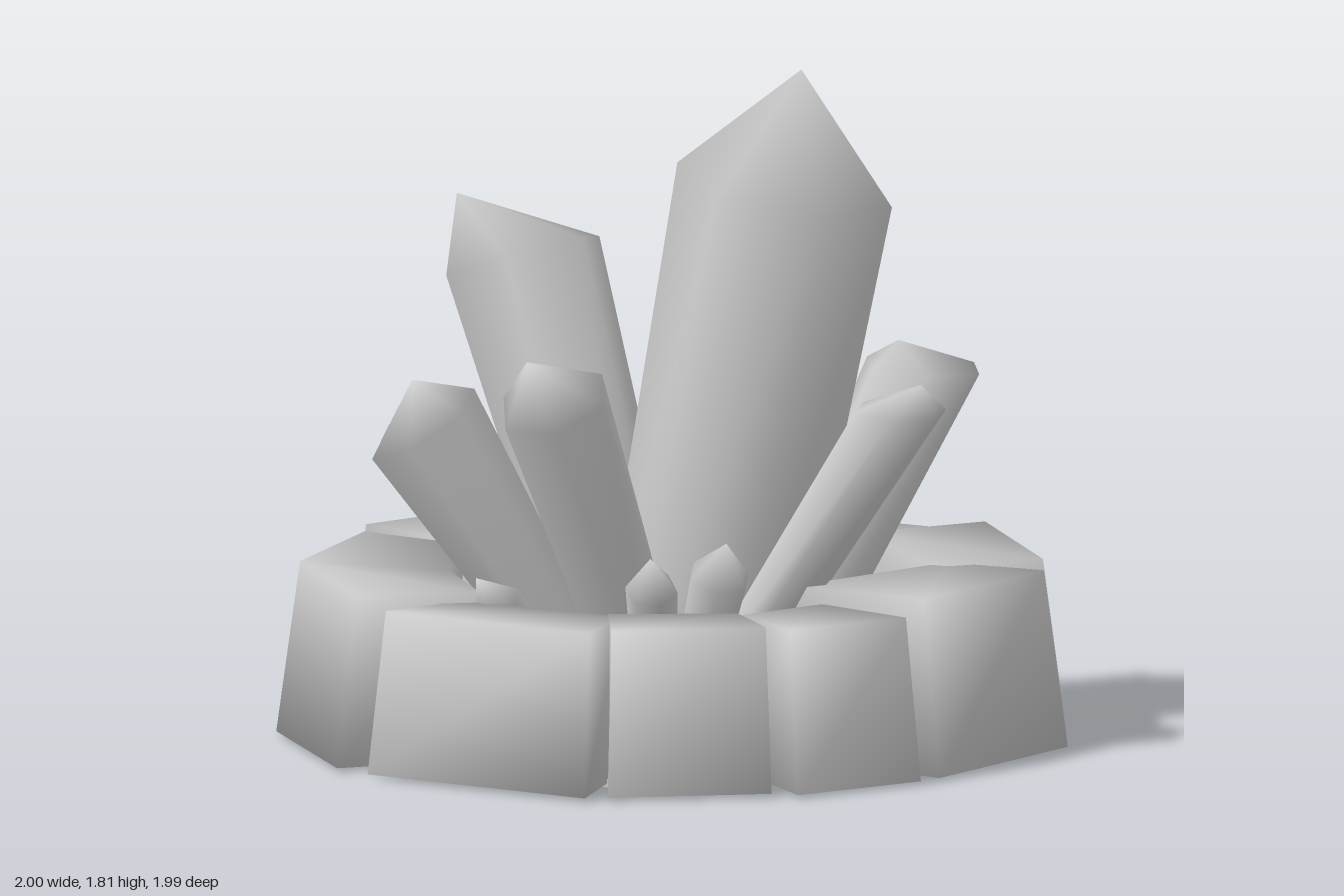
import * as THREE from 'three';

const stone = new THREE.MeshStandardMaterial({ color: 0xcccccc });
stone.name = 'paleStone';

function addMesh(group, name, geometry) {
  const mesh = new THREE.Mesh(geometry, stone);
  mesh.name = name;
  group.add(mesh);
}

function smoothGeometry(points, index) {
  const geometry = new THREE.BufferGeometry().setFromPoints(points);
  geometry.setIndex(index);
  geometry.computeVertexNormals();
  return geometry;
}

// Six-sided shaft from base to shoulder, closed by a point at tip.
// level flattens the shoulder towards horizontal, flat thins the shaft.
function crystalGeometry({ base, shoulder, tip, r, taper = 0.75, twist = 0, level = 0, flat = 1 }) {
  const foot = new THREE.Vector3(...base);
  const neck = new THREE.Vector3(...shoulder);
  const turn = new THREE.Quaternion().setFromUnitVectors(
    new THREE.Vector3(0, 1, 0), neck.clone().sub(foot).normalize());
  const ring = (centre, radius, levelling) => Array.from({ length: 6 }, (_, i) => {
    const a = twist + i * Math.PI / 3;
    const p = new THREE.Vector3(Math.cos(a) * radius, 0, -Math.sin(a) * radius * flat)
      .applyQuaternion(turn);
    p.y *= 1 - levelling;
    return p.add(centre);
  });
  foot.y = 0.02;
  const points = [...ring(foot, r * taper, 1), ...ring(neck, r, level), new THREE.Vector3(...tip)];
  const index = [];
  for (let i = 0; i < 6; i++) {
    const j = (i + 1) % 6;
    index.push(i, j, j + 6, i, j + 6, i + 6, i + 6, j + 6, 12);
  }
  return smoothGeometry(points, index);
}

// Smooth boulder: a four-cornered section swept along outer and inner [x, z] points
function boulderGeometry({ outer, inner, h }) {
  const lean = 0.94;
  const points = outer.flatMap(([ox, oz], i) => {
    const [ix, iz] = inner[i];
    return [
      new THREE.Vector3(ox, 0.01, oz),
      new THREE.Vector3(ox * lean, h, oz * lean),
      new THREE.Vector3(ix, h - 0.01, iz),
      new THREE.Vector3(ix, 0.01, iz),
    ];
  });
  const index = [];
  const quad = (a, b, c, d) => index.push(a, b, c, a, c, d);
  const last = (outer.length - 1) * 4;
  for (let i = 0; i < last; i += 4) {
    for (let k = 0; k < 4; k++) {
      const n = (k + 1) % 4;
      quad(i + k, i + 4 + k, i + 4 + n, i + n);
    }
  }
  quad(3, 0, 1, 2);
  quad(last + 2, last + 1, last, last + 3);
  return smoothGeometry(points, index);
}

// Boulders, counter-clockwise from the front left
const boulders = [
  { outer: [[-0.45, 0.88], [-0.02, 0.95]], inner: [[-0.34, 0.53], [-0.01, 0.62]], h: 0.445 },
  { outer: [[0.04, 0.99], [0.41, 0.89]], inner: [[0.0, 0.62], [0.25, 0.53]], h: 0.44 },
  { outer: [[0.47, 0.86], [0.93, 0.52]], inner: [[0.2, 0.46], [0.68, 0.25]], h: 0.48 },
  { outer: [[0.98, 0.35], [1.0, -0.26]], inner: [[0.63, 0.31], [0.61, -0.24]], h: 0.48 },
  { outer: [[0.95, -0.4], [0.49, -0.88]], inner: [[0.61, -0.22], [0.27, -0.55]], h: 0.44 },
  { outer: [[0.41, -0.9], [-0.03, -0.99]], inner: [[0.33, -0.62], [-0.06, -0.62]], h: 0.46 },
  { outer: [[-0.1, -1.0], [-0.65, -0.79]], inner: [[-0.03, -0.62], [-0.45, -0.48]], h: 0.47 },
  { outer: [[-0.68, -0.71], [-0.99, -0.32], [-1.0, 0.25]],
    inner: [[-0.43, -0.47], [-0.58, -0.1], [-0.6, 0.24]], h: 0.465 },
  { outer: [[-0.95, 0.36], [-0.51, 0.87]], inner: [[-0.63, 0.2], [-0.31, 0.55]], h: 0.44 },
];

// Tall crystals
const crystals = [
  { base: [0.03, 0, 0.02], shoulder: [0.24, 1.5, 0.23], tip: [0.28, 1.81, 0.25], r: 0.29, taper: 0.92, twist: 0.6 },
  { base: [-0.03, 0, -0.1], shoulder: [-0.27, 1.22, -0.45], tip: [-0.43, 1.385, -0.52], r: 0.22, twist: 0.05 },
  { base: [-0.04, 0, 0.05], shoulder: [-0.44, 0.98, 0.37], tip: [-0.53, 1.1, 0.42], r: 0.155, twist: 0.2 },
  { base: [-0.15, 0, 0], shoulder: [-0.7, 0.88, 0.05], tip: [-0.73, 1.0, 0.05], r: 0.165, taper: 0.6, flat: 0.75 },
  { base: [0, 0, 0.18], shoulder: [0.44, 0.95, 0.61], tip: [0.5, 1.015, 0.6], r: 0.145, twist: 0.1, level: 0.85 },
  { base: [0.2, 0, 0.03], shoulder: [0.65, 0.98, 0.14], tip: [0.6, 1.04, 0.08], r: 0.18, twist: 0.3, level: 0.85 },
  { base: [0.15, 0, -0.2], shoulder: [0.38, 0.84, -0.385], tip: [0.43, 0.99, -0.39], r: 0.13, twist: 0.1 },
];

// Small shards between the tall crystals: foot, tip, radius
const shards = [
  [[0, 0, -0.2], [-0.02, 0.75, -0.67], 0.1],
  [[0.15, 0, -0.25], [0.33, 0.6, -0.64], 0.075],
  [[0.2, 0, -0.15], [0.63, 0.56, -0.25], 0.075],
  [[-0.05, 0, 0.25], [-0.02, 0.61, 0.55], 0.085],
  [[-0.1, 0, 0.2], [-0.23, 0.58, 0.55], 0.07],
  [[-0.2, 0, 0.08], [-0.62, 0.5, 0.26], 0.07],
];

export function createModel() {
  const model = new THREE.Group();
  model.name = 'crystalCluster';

  // Ground disc
  const disc = new THREE.CylinderGeometry(0.78, 0.78, 0.02, 24);
  disc.translate(0, 0.01, 0);
  addMesh(model, 'groundDisc', disc);

  const ring = new THREE.Group();
  ring.name = 'boulderRing';
  boulders.forEach(b => addMesh(ring, 'boulder', boulderGeometry(b)));

  const cluster = new THREE.Group();
  cluster.name = 'crystals';
  crystals.forEach(c => addMesh(cluster, 'tallCrystal', crystalGeometry(c)));
  shards.forEach(([base, tip, r], i) => {
    const shoulder = base.map((v, k) => v + (tip[k] - v) * 0.84);
    addMesh(cluster, 'shard', crystalGeometry({ base, shoulder, tip, r, twist: i * 0.4 }));
  });

  model.add(ring, cluster);
  return model;
}
